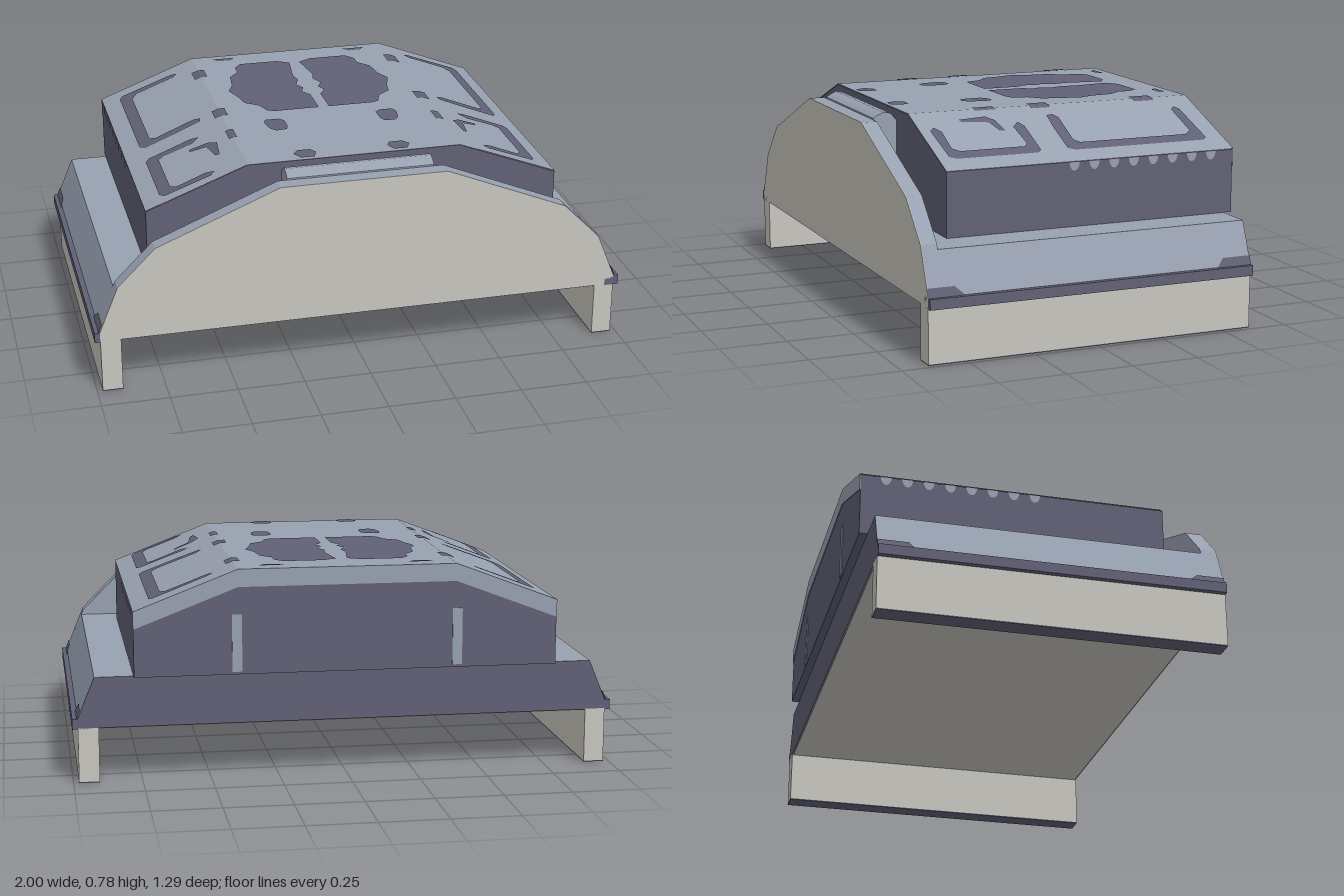
import * as THREE from 'three';

const mat = (name, color) => {
  const m = new THREE.MeshStandardMaterial({ color, side: THREE.DoubleSide });
  m.name = name;
  return m;
};

export function createModel() {
  const group = new THREE.Group();
  const cream = mat('cream', 0xc8c6bf);
  const light = mat('blue grey', 0x98a1b1);
  const dark = mat('dark slate', 0x616176);

  const add = (name, geo, material) => {
    const mesh = new THREE.Mesh(geo, material);
    mesh.name = name;
    group.add(mesh);
    return mesh;
  };
  const shapeOf = (pts) => new THREE.Shape(pts.map(([x, y]) => new THREE.Vector2(x, y)));
  // Close a half profile by mirroring it in x
  const mirrored = (half) => shapeOf([...half, ...half.map(([x, y]) => [-x, y]).reverse()]);
  const extrude = (shape, z0, z1) =>
    new THREE.ExtrudeGeometry(shape, { depth: z1 - z0, bevelEnabled: false }).translate(0, 0, z0);
  const box = (name, material, x0, x1, y0, y1, z0, z1) =>
    add(name, new THREE.BoxGeometry(x1 - x0, y1 - y0, z1 - z0)
      .translate((x0 + x1) / 2, (y0 + y1) / 2, (z0 + z1) / 2), material);
  // Lay a flat geometry on a surface: fn maps its (u, v) to a point
  const drape = (name, geo, material, fn) => {
    const p = geo.attributes.position;
    for (let i = 0; i < p.count; i++) p.setXYZ(i, ...fn(p.getX(i), p.getY(i)));
    const flat = geo.toNonIndexed();
    flat.computeVertexNormals();
    return add(name, flat, material);
  };

  const roofY = (x) => 0.775 - Math.max(0, Math.abs(x) - 0.4) * 0.382;
  const slopeX = (y) => 0.98 - (y - 0.24) * 0.412;

  // Lower body with sloped sides
  const bodyHalf = [[0.98, 0.203], [0.98, 0.24], [slopeX(0.39), 0.39]];
  add('body', extrude(mirrored(bodyHalf), -0.61, 0.585), [dark, light]);
  box('underside', cream, -0.97, 0.97, 0.2, 0.204, -0.605, 0.64);

  // Front bow
  const bowHalf = [[0.98, 0.203], [0.98, 0.24], [0.91, 0.41], [0.77, 0.55], [0.31, 0.738]];
  add('frontBow', extrude(mirrored(bowHalf), 0.585, 0.642), light);
  add('frontFace', extrude(mirrored(bowHalf), 0.642, 0.645), cream);

  // Rounded bridge between bow and upper box
  const bridge = shapeOf([[0.494, 0.39], [0.586, 0.39], [0.586, 0.744], [0.57, 0.755],
    [0.545, 0.765], [0.52, 0.76], [0.494, 0.732]]);
  add('bridge', extrude(bridge, 0, 0.55).rotateY(-Math.PI / 2).translate(0.275, 0, 0), light);

  // Upper box and its roof skin
  const boxHalf = [[0.777, 0.39], [0.777, 0.627], [0.4, 0.772]];
  add('upperBox', extrude(mirrored(boxHalf), -0.64, 0.496), dark);
  const cols = [-0.778, -0.4, 0.4, 0.778];
  drape('roofSkin', new THREE.PlaneGeometry(3, 1, 3, 1), light, (u, v) => {
    const x = cols[Math.round(u + 1.5)];
    return [x, roofY(x), v > 0 ? -0.643 : 0.497];
  });

  // Rear band under the roof edge and two rear streaks
  const bandTop = cols.map((x) => [x, roofY(x)]);
  const band = [...bandTop, ...bandTop.map(([x, y]) => [x, y - 0.065]).reverse()];
  add('rearBand', extrude(shapeOf(band), -0.643, -0.639), light);

  for (const s of [1, -1]) {
    box('rearStreak', light, s * 0.405 - 0.018, s * 0.405 + 0.018, 0.4, 0.61, -0.643, -0.639);

    // Side rails with dark feet and trim strips
    const side = (a, b) => (s > 0 ? [a, b] : [-b, -a]);
    box('rail', cream, ...side(0.905, 0.98), 0.004, 0.205, -0.61, 0.645);
    box('railFoot', dark, ...side(0.905, 0.98), 0, 0.004, -0.61, 0.645);
    box('sideTrim', dark, ...side(0.945, 1), 0.2, 0.238, -0.61, 0.645);

    // Painted corners on the sloped sides
    const corners = [
      [[0.645, 0.235], [0.645, 0.27], [0.545, 0.27], [0.505, 0.235]],
      [[-0.61, 0.235], [-0.61, 0.27], [-0.5, 0.27], [-0.47, 0.235]],
    ];
    for (const c of corners) {
      drape('cornerPatch', new THREE.ShapeGeometry(shapeOf(c)), dark,
        (z, y) => [s * (slopeX(y) + 0.004), y, z]);
    }

    // Scalloped edge along the box side
    for (let i = 0; i < 8; i++) {
      drape('scallop', new THREE.CircleGeometry(0.02, 8, Math.PI, Math.PI), light,
        (u, v) => [s * 0.78, 0.627 + v * 1.6, 0.005 - i * 0.079 + u]);
    }

    // Painted roof markings, given as (x, z)
    const onRoof = (x, z) => [s * x, roofY(x) + 0.004, z];
    const markings = {
      centrePatch: [[0.02, -0.49], [0.07, -0.52], [0.22, -0.52], [0.25, -0.48], [0.25, -0.43],
        [0.29, -0.38], [0.3, -0.29], [0.325, -0.23], [0.3, -0.15], [0.29, -0.09], [0.24, -0.05],
        [0.22, 0.01], [0.19, 0.02], [0.02, 0.02], [0.02, -0.12], [0.045, -0.16], [0.03, -0.2],
        [0.05, -0.24], [0.03, -0.29], [0.04, -0.34]],
      rearBracket: [[0.48, -0.55], [0.5, -0.565], [0.7, -0.57], [0.715, -0.55], [0.715, -0.03],
        [0.7, -0.005], [0.57, -0.01], [0.48, -0.02], [0.475, -0.045], [0.5, -0.06], [0.65, -0.05],
        [0.67, -0.07], [0.67, -0.5], [0.65, -0.53], [0.5, -0.53]],
      frontBracket: [[0.51, 0.11], [0.54, 0.095], [0.7, 0.1], [0.715, 0.12], [0.715, 0.43],
        [0.7, 0.455], [0.53, 0.46], [0.51, 0.44], [0.54, 0.42], [0.65, 0.425], [0.67, 0.4],
        [0.67, 0.15], [0.65, 0.135], [0.54, 0.14]],
      hook: [[0.46, 0.22], [0.49, 0.19], [0.56, 0.18], [0.56, 0.2], [0.5, 0.22], [0.485, 0.32],
        [0.47, 0.325]],
      rearDash: [[0.23, -0.6], [0.32, -0.6], [0.3, -0.575], [0.25, -0.575]],
      midSpot: [[0.18, 0.12], [0.2, 0.1], [0.25, 0.1], [0.26, 0.13], [0.25, 0.19], [0.23, 0.215],
        [0.19, 0.21], [0.18, 0.18]],
      frontSpot: [[0.15, 0.42], [0.2, 0.42], [0.22, 0.45], [0.2, 0.49], [0.15, 0.49], [0.135, 0.45]],
    };
    for (const [name, pts] of Object.entries(markings)) {
      drape(name, new THREE.ShapeGeometry(shapeOf(pts)), dark, onRoof);
    }
    // Small marks straddling the roof crease
    for (const [z, w, d] of [[-0.45, 0.05, 0.08], [-0.02, 0.05, 0.075], [0.2, 0.03, 0.08]]) {
      drape('creaseMark', new THREE.PlaneGeometry(w, d, 2, 1).translate(0.402, z, 0), dark, onRoof);
    }
  }
  return group;
}
